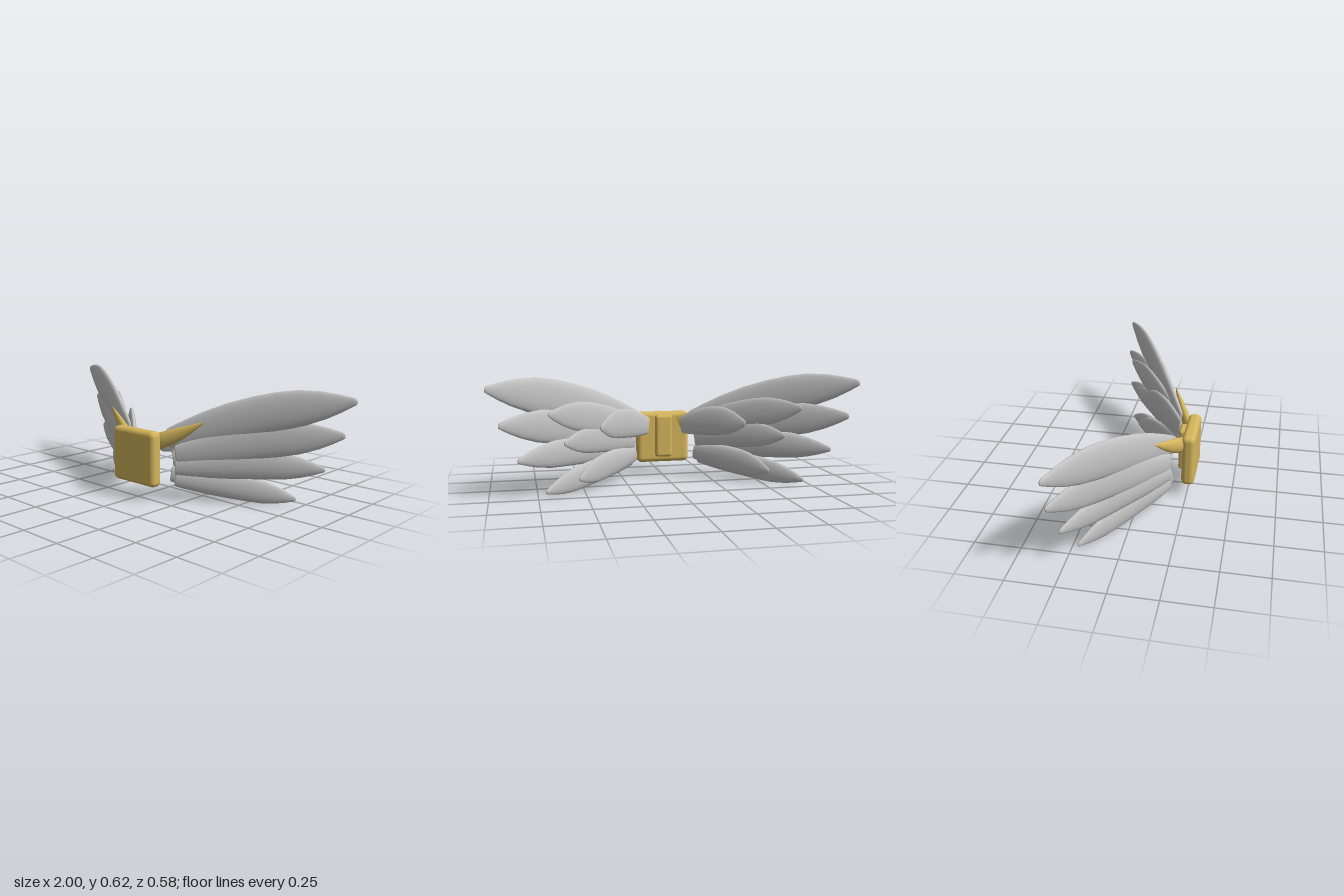
import * as THREE from 'three';
import { RoundedBoxGeometry } from 'three/addons/geometries/RoundedBoxGeometry.js';

const SIDES = 20;

// Closed skin through flattened elliptical sections along a path.
// sections: [t along path, width fraction, thickness fraction]
function loft(root, tip, sections, halfWidth, halfThick, bow) {
  const along = tip.clone().sub(root);
  const dir = along.clone().normalize();
  const normal = dir.clone().cross(new THREE.Vector3(0, 1, 0)).normalize();
  const wide = normal.clone().cross(dir);
  const pos = [], idx = [];
  sections.forEach(([t, w, h]) => {
    const c = root.clone().addScaledVector(along, t)
      .addScaledVector(wide, bow * Math.sin(Math.PI * t));
    for (let j = 0; j < SIDES; j++) {
      const a = (j / SIDES) * Math.PI * 2;
      const p = c.clone()
        .addScaledVector(wide, Math.cos(a) * w * halfWidth)
        .addScaledVector(normal, Math.sin(a) * h * halfThick);
      pos.push(p.x, p.y, p.z);
    }
  });
  for (let i = 0; i < sections.length - 1; i++) {
    for (let j = 0; j < SIDES; j++) {
      const k = (j + 1) % SIDES;
      const a = i * SIDES + j, b = i * SIDES + k;
      idx.push(a, b, a + SIDES, b, b + SIDES, a + SIDES);
    }
  }
  const g = new THREE.BufferGeometry();
  g.setAttribute('position', new THREE.Float32BufferAttribute(pos, 3));
  g.setIndex(idx);
  g.computeVertexNormals();
  return g;
}

// Blunt root, broad outer half, small rounded tip
const FEATHER = [
  [0, 0, 0], [0, 0.5, 0.45], [0.012, 0.6, 0.6], [0.1, 0.73, 0.8], [0.22, 0.87, 0.95],
  [0.36, 0.97, 1], [0.5, 1, 1], [0.62, 0.99, 0.95], [0.73, 0.92, 0.85], [0.84, 0.7, 0.65],
  [0.92, 0.45, 0.48], [0.98, 0.22, 0.35], [0.995, 0.15, 0.25], [1, 0, 0],
];
const HORN = [
  [0, 0, 0], [0, 1, 1], [0.25, 0.95, 0.95], [0.5, 0.75, 0.75],
  [0.75, 0.42, 0.45], [0.93, 0.14, 0.15], [1, 0, 0],
];

// name, root, tip, half width, half thickness, upward bow
const FEATHERS = [
  ['primaryFeather1', [0.15, 0.33, 0.17], [1.0, 0.58, -0.28], 0.1, 0.028, 0.032],
  ['primaryFeather2', [0.2, 0.25, 0.165], [0.94, 0.398, -0.287], 0.093, 0.026, 0.024],
  ['primaryFeather3', [0.2, 0.185, 0.168], [0.85, 0.21, -0.26], 0.077, 0.026, 0.022],
  ['primaryFeather4', [0.2, 0.123, 0.168], [0.71, 0.033, -0.215], 0.067, 0.024, 0.012],
  ['coverFeather1', [0.1, 0.31, 0.18], [0.41, 0.345, -0.085], 0.082, 0.02, 0.02],
  ['coverFeather2', [0.16, 0.3, 0.165], [0.69, 0.44, -0.22], 0.082, 0.02, 0.02],
  ['coverFeather3', [0.18, 0.23, 0.165], [0.61, 0.28, -0.175], 0.075, 0.02, 0.018],
  ['coverFeather4', [0.175, 0.15, 0.175], [0.53, 0.08, -0.15], 0.072, 0.022, 0.012],
];

export function createModel() {
  const model = new THREE.Group();
  const silver = new THREE.MeshStandardMaterial({ color: 0xc4c4c4 });
  silver.name = 'silver';
  const gold = new THREE.MeshStandardMaterial({ color: 0xd4b55c });
  gold.name = 'gold';

  const add = (parent, name, geometry, material) => {
    const mesh = new THREE.Mesh(geometry, material);
    mesh.name = name;
    parent.add(mesh);
    return mesh;
  };

  // Centre block and its back plate
  add(model, 'centreBlock', new RoundedBoxGeometry(0.31, 0.3, 0.073, 5, 0.028), gold)
    .position.set(0, 0.235, 0.2565);
  add(model, 'backPlate', new RoundedBoxGeometry(0.1, 0.25, 0.05, 4, 0.018), gold)
    .position.set(0, 0.245, 0.214);

  // Wings and horns, mirrored by building each side from mirrored points
  for (const side of [1, -1]) {
    const at = ([x, y, z]) => new THREE.Vector3(side * x, y, z);
    const wing = new THREE.Group();
    wing.name = side > 0 ? 'leftWing' : 'rightWing';
    for (const [name, root, tip, w, h, bow] of FEATHERS) {
      add(wing, name, loft(at(root), at(tip), FEATHER, w, h, bow), silver);
    }
    add(wing, 'horn', loft(at([0.1, 0.315, 0.225]), at([0.355, 0.445, 0.11]),
      HORN, 0.045, 0.025, -0.006), gold);
    model.add(wing);
  }
  return model;
}
